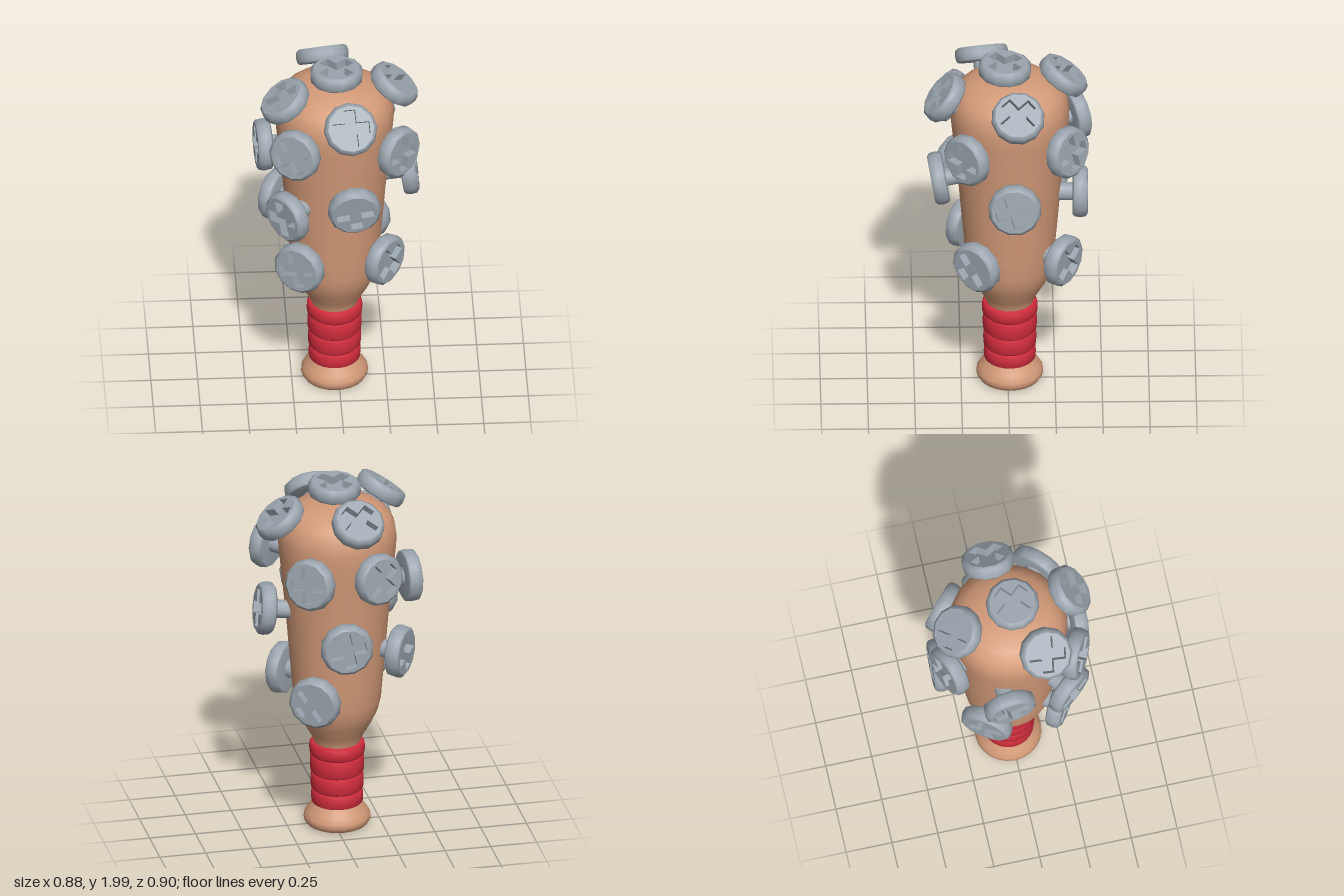
import * as THREE from 'three';

const mat = (name, color) => {
  const m = new THREE.MeshStandardMaterial({ color });
  m.name = name;
  return m;
};
const V2 = (p) => new THREE.Vector2(p[0], p[1]);

// Cross-shaped outline: arm half-length a, arm half-width w
function crossPoints(a, w) {
  return [[w, w], [w, a], [-w, a], [-w, w], [-a, w], [-a, -w],
    [-w, -w], [-w, -a], [w, -a], [w, -w], [a, -w], [a, w]].map(V2);
}

// Screw pieces: local +y points out of the bat, y = 0 is the outer face
function screwGeometries() {
  const R = 0.124, depth = 0.045;
  const body = new THREE.LatheGeometry(
    [[0.04, -0.08], [0.128, -0.08], [0.139, -0.07], [0.144, -0.04], [0.139, -0.012], [R, 0]].map(V2), 12);
  const ring = [];
  for (let i = 0; i < 12; i++) {
    const t = (i / 12) * Math.PI * 2;
    ring.push(new THREE.Vector2(Math.cos(t) * R, Math.sin(t) * R));
  }
  const faceShape = new THREE.Shape(ring);
  faceShape.holes.push(new THREE.Path(crossPoints(0.1, 0.031).reverse()));
  const face = new THREE.ExtrudeGeometry(faceShape, { depth, bevelEnabled: false });
  face.translate(0, 0, -depth).rotateX(-Math.PI / 2);
  const floor = new THREE.CircleGeometry(R, 12);
  floor.rotateX(-Math.PI / 2).translate(0, -depth + 0.001, 0);
  const shank = new THREE.CylinderGeometry(0.05, 0.05, 0.17, 12);
  shank.translate(0, -0.155, 0);
  return { screwHead: body, screwFace: face, slotFloor: floor, screwShank: shank };
}

// Face centre, outward direction, roll of the cross in degrees
const SCREWS = [
  [[0.05, 1.83, 0.37], [0.05, 0.64, 0.77], 2],
  [[-0.265, 1.635, 0.345], [-0.46, 0.12, 0.87], 30],
  [[0.34, 1.575, 0.25], [0.73, 0.03, 0.68], -3],
  [[0.07, 1.3, 0.41], [0.08, -0.16, 0.98], 8],
  [[-0.315, 1.205, 0.29], [-0.77, -0.05, 0.64], 12],
  [[-0.355, 1.05, -0.215], [-0.83, -0.02, -0.56], 15],
  [[-0.437, 1.44, -0.08], [-0.99, 0, 0.09], 20],
  [[0.418, 1.305, -0.03], [0.99, 0.13, 0.03], 18],
  [[-0.24, 0.855, 0.265], [-0.53, 0.03, 0.84], 15],
  [[0.27, 0.85, 0.195], [0.77, -0.03, 0.63], 38],
  [[-0.315, 1.895, 0.14], [-0.57, 0.82, 0.1], 75],
  [[0.325, 1.86, -0.05], [0.6, 0.79, -0.02], 40],
  [[-0.012, 1.985, 0.015], [-0.02, 1, -0.04], 42],
  [[-0.075, 1.895, -0.32], [-0.1, 0.81, -0.58], 40],
  [[0.22, 1.55, -0.345], [0.66, 0.14, -0.74], 8],
  [[-0.185, 1.565, -0.4], [-0.39, 0.08, -0.91], 40],
  [[0.01, 1.18, -0.425], [0.02, 0, -1], 12],
  [[0.185, 0.84, -0.325], [0.57, -0.03, -0.82], 38],
];

export function createModel() {
  const wood = mat('wood', 0xd39a78);
  const steel = mat('steel', 0x9ca6af);
  const red = mat('red tape', 0xd02c3c);
  const model = new THREE.Group();
  model.name = 'studdedBat';

  const add = (parent, name, geo, material) => {
    const m = new THREE.Mesh(geo, material);
    m.name = name;
    parent.add(m);
    return m;
  };

  // Wooden bat and tape share an axis
  const bat = new THREE.Group();
  bat.name = 'bat';
  bat.position.set(-0.02, 0, -0.01);
  model.add(bat);

  // Pommel, with a flat bottom
  const knob = [[0.15, 0], [0.165, 0.008], [0.178, 0.03], [0.177, 0.055], [0.16, 0.085], [0.142, 0.11], [0.125, 0.14]];
  add(bat, 'knob', new THREE.LatheGeometry(knob.map(V2), 24), wood);
  const base = new THREE.CircleGeometry(0.151, 24);
  base.rotateX(Math.PI / 2);
  add(bat, 'knobBase', base, wood);

  // Barrel, closing in a rounded top
  const barrel = [[0.122, 0.44], [0.125, 0.49], [0.15, 0.54], [0.19, 0.61], [0.218, 0.67], [0.234, 0.74],
    [0.243, 0.85], [0.256, 1.0], [0.272, 1.2], [0.292, 1.4], [0.312, 1.6], [0.318, 1.68], [0.309, 1.75],
    [0.28, 1.805], [0.23, 1.845], [0.16, 1.872], [0.08, 1.886], [0, 1.89]];
  add(bat, 'barrel', new THREE.LatheGeometry(barrel.map(V2), 24), wood);

  // Stacked bands of grip tape
  const bands = [[0.12, 0.204, 0.139], [0.204, 0.302, 0.142], [0.302, 0.405, 0.145], [0.405, 0.482, 0.149]];
  bands.forEach(([y0, y1, r]) => {
    const e = 0.012;
    const profile = [[0.11, y0], [r - e, y0], [r - 0.002, y0 + e], [r, (y0 + y1) / 2], [r - 0.002, y1 - e], [r - e, y1], [0.11, y1]];
    add(bat, 'gripBand', new THREE.LatheGeometry(profile.map(V2), 24), red);
  });

  // Screws driven into the barrel
  const parts = screwGeometries();
  SCREWS.forEach(([pos, dir, roll]) => {
    const n = new THREE.Vector3(...dir).normalize();
    const up = n.y > 0.95 ? new THREE.Vector3(0, 0, -1) : new THREE.Vector3(0, 1, 0);
    const right = up.cross(n).normalize();
    const back = new THREE.Vector3().crossVectors(right, n);
    const screw = new THREE.Group();
    screw.name = 'screw';
    screw.quaternion.setFromRotationMatrix(new THREE.Matrix4().makeBasis(right, n, back));
    screw.rotateY(THREE.MathUtils.degToRad(roll));
    screw.position.set(...pos);
    for (const [name, geo] of Object.entries(parts)) add(screw, name, geo, steel);
    model.add(screw);
  });

  return model;
}
